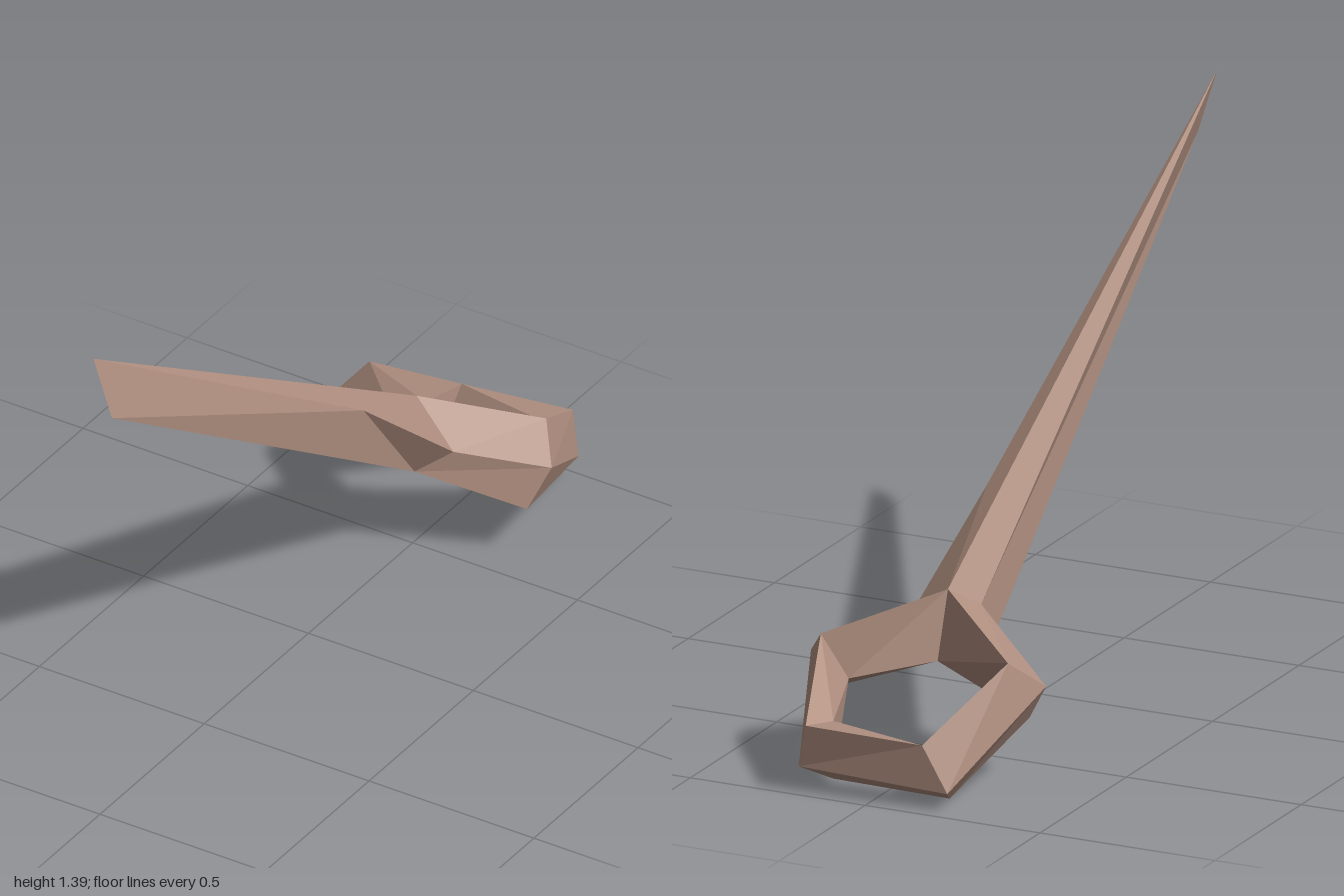
import * as THREE from 'three';

const clay = new THREE.MeshStandardMaterial({ color: 0xaf8e7f, flatShading: true });
clay.name = 'dusty brown';

// Flat-shaded mesh from a list of triangles, skipping collapsed ones
function facetMesh(name, tris) {
  const pts = tris.filter(([a, b, c]) => a !== b && b !== c && a !== c).flat();
  const geo = new THREE.BufferGeometry();
  geo.setAttribute('position', new THREE.Float32BufferAttribute(pts.flat(), 3));
  geo.computeVertexNormals();
  const mesh = new THREE.Mesh(geo, clay);
  mesh.name = name;
  return mesh;
}

// Faceted bar between two four-point sections; flip picks the other diagonal
function bar(p, q, flip) {
  const tris = [];
  for (let i = 0; i < 4; i++) {
    const j = (i + 1) % 4;
    if (flip) tris.push([p[i], p[j], q[j]], [p[i], q[j], q[i]]);
    else tris.push([p[i], p[j], q[i]], [p[j], q[j], q[i]]);
  }
  return tris;
}

export function createModel() {
  const group = new THREE.Group();
  group.name = 'ringWithHandle';

  // Ring sections: inner, top, outer, bottom
  const inner = [0.005, 0.26, -0.57], top = [0, 0.44, -0.52];
  const frontRight = [inner, top, [0.13, 0.33, -0.49], [0.05, 0.275, -0.43]];
  const frontLeft = [inner, top, [-0.09, 0.41, -0.51], [-0.09, 0.29, -0.45]];
  const right = [[0.2, 0.22, -0.69], [0.26, 0.345, -0.73], [0.33, 0.265, -0.645], [0.29, 0.155, -0.59]];
  const backRight = [[0.13, 0.185, -0.92], [0.17, 0.19, -1], [0.2, 0.07, -0.98], [0.155, 0.01, -0.87]];
  const backLeftTop = [-0.148, 0.175, -0.97], leftTop = [-0.27, 0.34, -0.72];
  const backLeft = [backLeftTop, backLeftTop, [-0.215, 0.05, -0.96], [-0.17, 0, -0.855]];
  const left = [leftTop, leftTop, [-0.335, 0.26, -0.63], [-0.27, 0.155, -0.595]];

  // Five-sided ring
  const sections = [frontRight, right, backRight, backLeft, left, frontLeft];
  const ring = [];
  for (let i = 0; i < 5; i++) ring.push(...bar(sections[i], sections[i + 1], i === 4));
  group.add(facetMesh('ring', ring));

  // Tapered handle ending in a narrow edge, with a gusset on one side
  const tipTop = [-0.02, 1.39, 1], tipLow = [0.03, 1.22, 0.99], gusset = [0.06, 0.61, -0.17];
  const [, , outR, lowR] = frontRight;
  const [, , outL, lowL] = frontLeft;
  group.add(facetMesh('handle', [
    [outL, tipTop, top], [top, tipTop, gusset],
    [gusset, tipTop, tipLow], [gusset, tipLow, lowR],
    [lowL, lowR, tipLow],
    [outL, lowL, tipLow], [outL, tipLow, tipTop],
    [inner, lowR, lowL],
  ]));
  group.add(facetMesh('gusset', [[top, gusset, outR], [gusset, lowR, outR]]));

  return group;
}
